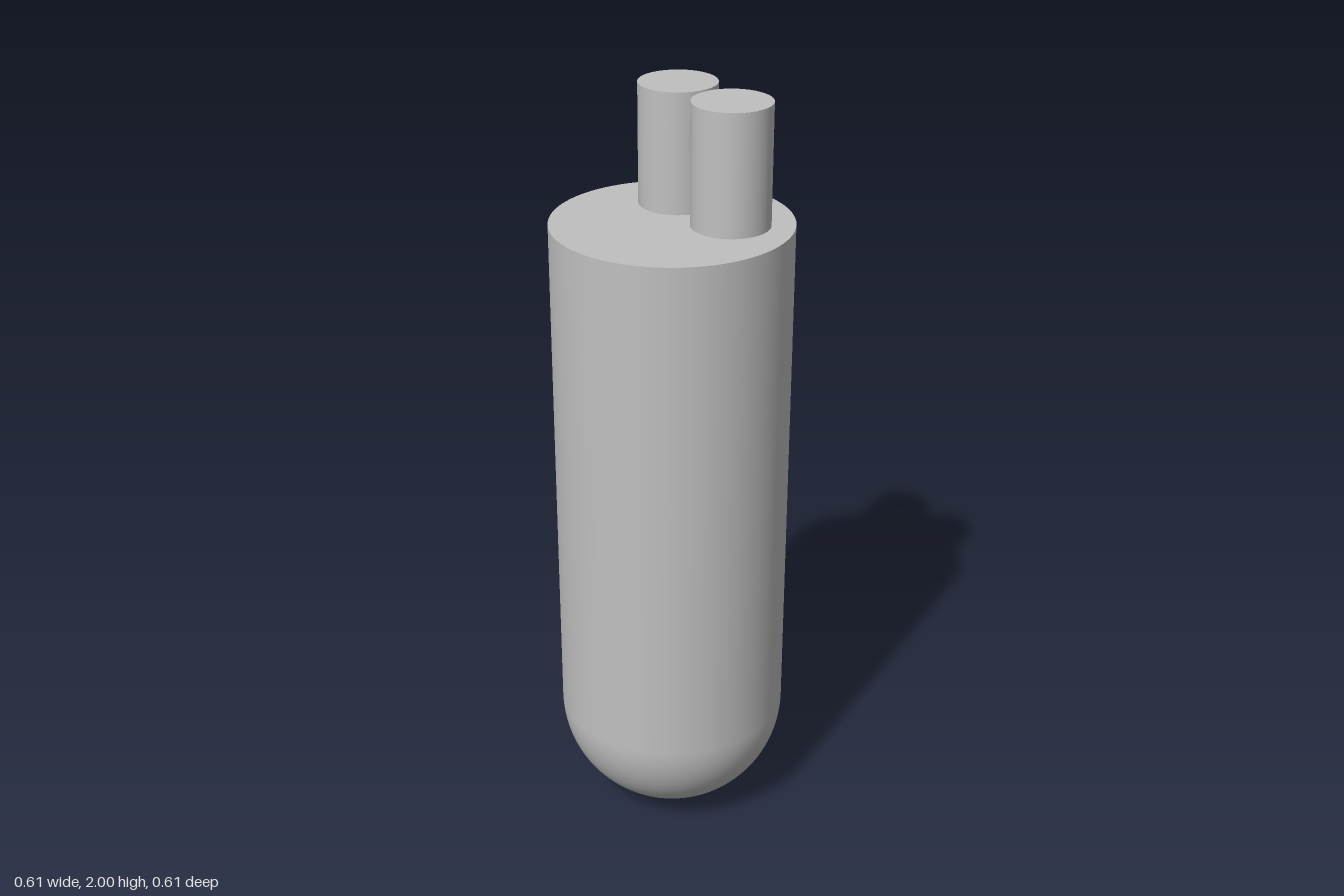
import * as THREE from 'three';

const RADIUS = 0.305, TOP = 1.69, PIN_RADIUS = 0.1;

export function createModel() {
  const group = new THREE.Group();
  const grey = new THREE.MeshStandardMaterial({ color: 0xc0c0c0 });
  grey.name = 'light grey';

  const add = (name, geometry, x, y, z) => {
    const mesh = new THREE.Mesh(geometry, grey);
    mesh.name = name;
    mesh.position.set(x, y, z);
    group.add(mesh);
  };

  // Rounded bottom: lower half of a sphere
  add('roundedBottom',
    new THREE.SphereGeometry(RADIUS, 96, 32, 0, Math.PI * 2, Math.PI / 2, Math.PI / 2),
    0, RADIUS, 0);

  // Straight body wall, open at both ends
  const height = TOP - RADIUS;
  add('body',
    new THREE.CylinderGeometry(RADIUS, RADIUS, height, 96, 1, true),
    0, RADIUS + height / 2, 0);

  // Flat top
  const cap = new THREE.CircleGeometry(RADIUS, 96);
  cap.rotateX(-Math.PI / 2);
  add('topCap', cap, 0, TOP, 0);

  // Two pins standing side by side behind the centre
  const pinHeight = 2 - TOP;
  for (const [name, side] of [['leftPin', 1], ['rightPin', -1]]) {
    add(name,
      new THREE.CylinderGeometry(PIN_RADIUS, PIN_RADIUS, pinHeight, 64),
      side * 0.105, TOP + pinHeight / 2, -0.1);
  }
  return group;
}
